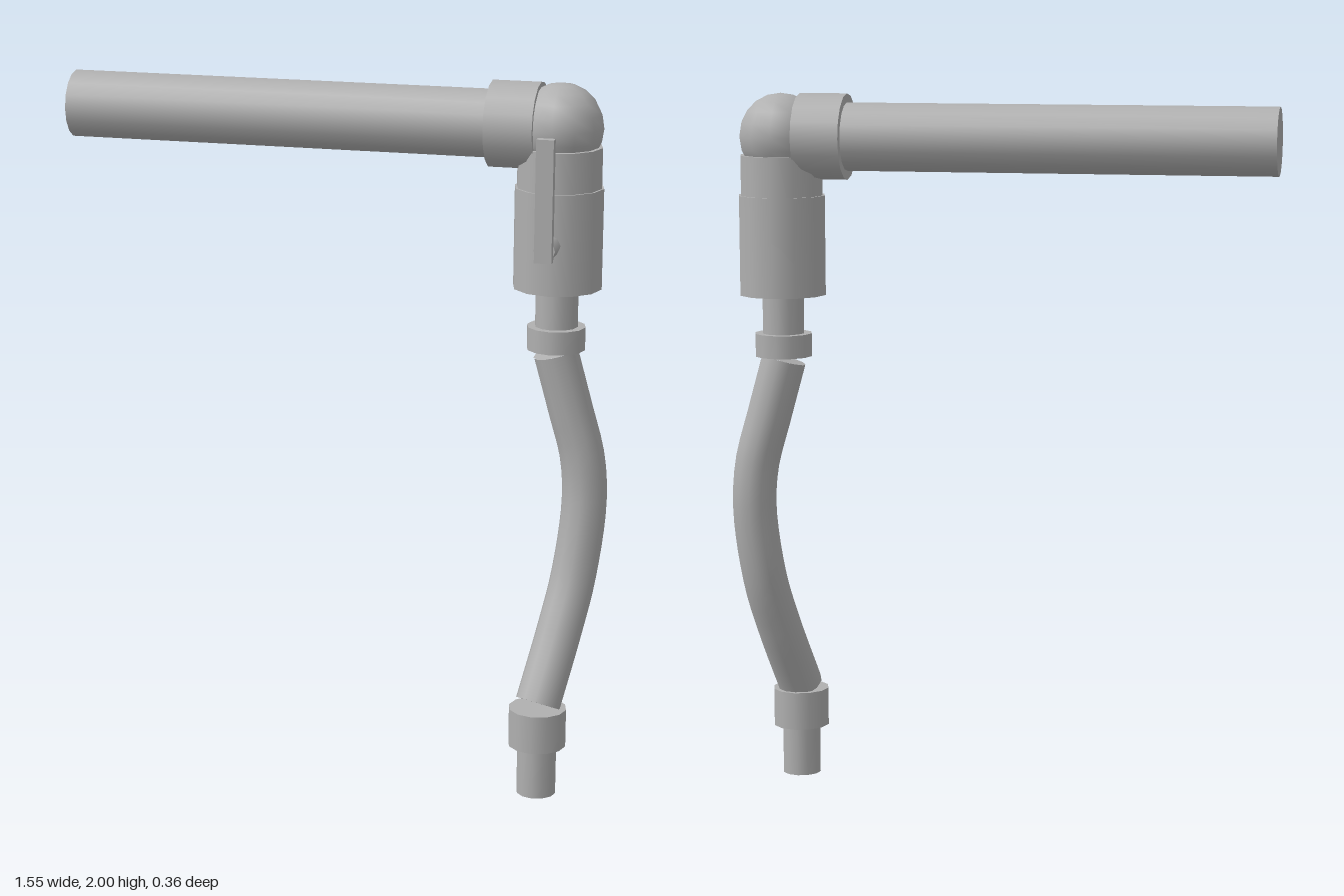
import * as THREE from 'three';

export function createModel() {
  const model = new THREE.Group();
  model.name = 'valveAndHose';
  const grey = new THREE.MeshStandardMaterial({ color: 0xb0b0b0 });
  grey.name = 'grey metal';

  function add(name, geometry, x = 0, y = 0, z = 0) {
    const mesh = new THREE.Mesh(geometry, grey);
    mesh.name = name;
    mesh.position.set(x, y, z);
    model.add(mesh);
    return mesh;
  }
  // upright cylinder between two heights
  const upright = (name, r, y0, y1, z) =>
    add(name, new THREE.CylinderGeometry(r, r, y1 - y0, 12), X, (y0 + y1) / 2, z);
  // sideways cylinder between two x positions
  const sideways = (name, r, x0, x1) => {
    const g = new THREE.CylinderGeometry(r, r, x1 - x0, 16).rotateZ(Math.PI / 2);
    return add(name, g, (x0 + x1) / 2, 1.88, TOP_Z);
  };

  const X = 0.62, TOP_Z = -0.053, FOOT_Z = 0.099;

  // supply pipe and elbow
  sideways('supplyPipe', 0.095, -0.775, 0.44);
  sideways('pipeCollar', 0.12, 0.43, 0.565);
  add('elbowBall', new THREE.SphereGeometry(0.12, 12, 10), X, 1.88, TOP_Z);
  upright('elbowNeck', 0.118, 1.71, 1.827, TOP_Z);

  // valve body and outlet
  upright('valveBody', 0.124, 1.435, 1.715, TOP_Z);
  upright('outletStem', 0.06, 1.32, 1.44, TOP_Z);
  upright('upperHoseCollar', 0.082, 1.26, 1.325, TOP_Z);

  // lever on its pivot
  add('leverPivot', new THREE.CylinderGeometry(0.03, 0.03, 0.09, 8).rotateX(Math.PI / 2), X, 1.575, 0.09);
  add('leverHandle', new THREE.BoxGeometry(0.048, 0.335, 0.025), X, 1.7125, 0.142);

  // bent hose with closed ends
  const path = new THREE.CatmullRomCurve3([
    [X, 1.25, TOP_Z], [0.662, 1.09, -0.064], [0.698, 0.95, -0.071],
    [0.707, 0.82, -0.069], [0.687, 0.61, -0.042], [0.66, 0.46, 0.008], [X, 0.265, 0.095],
  ].map((p) => new THREE.Vector3(...p)));
  add('hose', new THREE.TubeGeometry(path, 24, 0.064, 12));
  for (const [name, t, sign] of [['hoseTopCap', 0, -1], ['hoseBottomCap', 1, 1]]) {
    const cap = add(name, new THREE.CircleGeometry(0.064, 12), ...path.getPoint(t).toArray());
    cap.quaternion.setFromUnitVectors(new THREE.Vector3(0, 0, 1), path.getTangent(t).multiplyScalar(sign));
  }

  // lower fitting
  upright('lowerHoseCollar', 0.082, 0.145, 0.255, FOOT_Z);
  upright('endStub', 0.056, 0, 0.15, FOOT_Z);

  return model;
}
